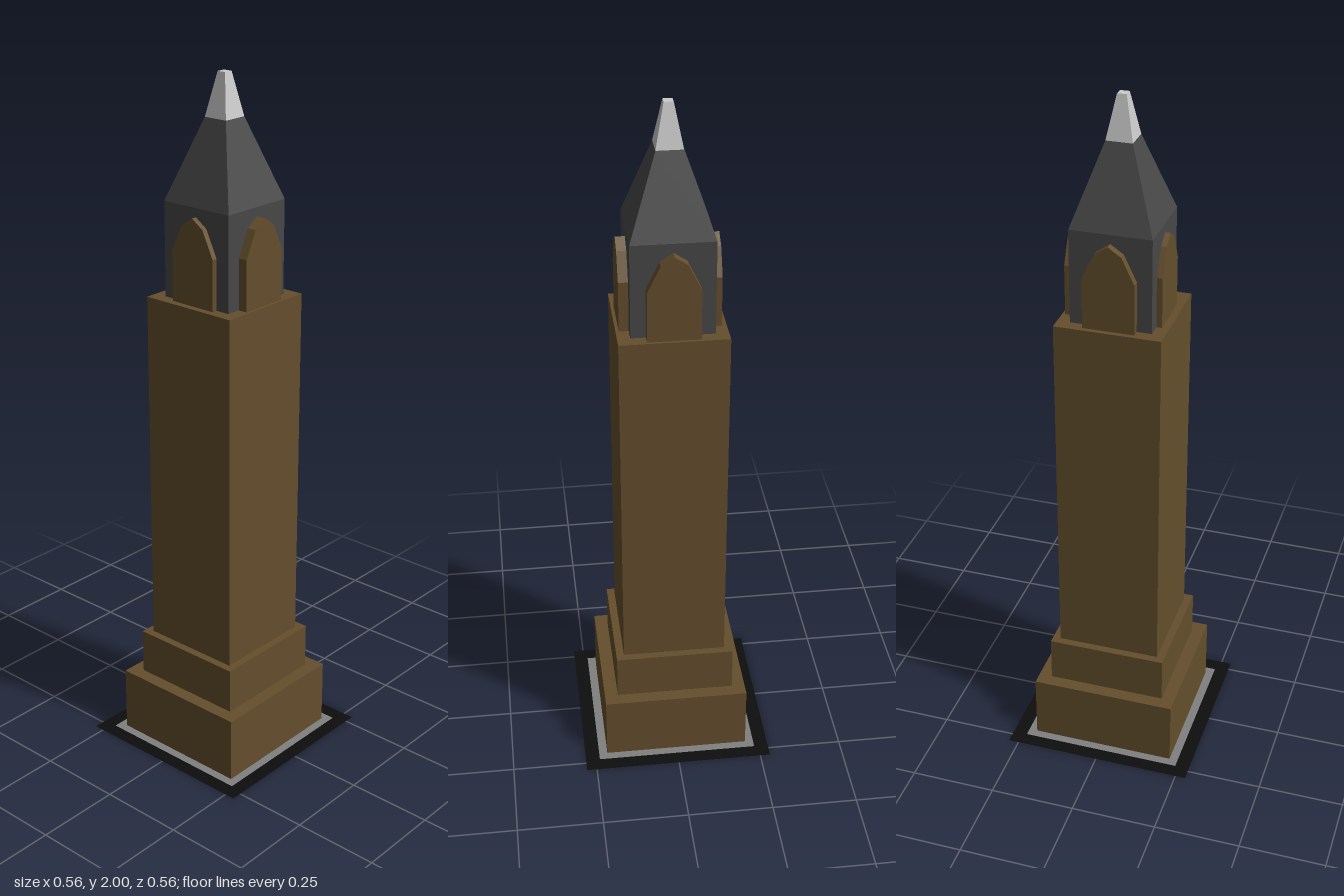
import * as THREE from 'three';

const material = (color) =>
  new THREE.MeshStandardMaterial({ color, flatShading: true, side: THREE.DoubleSide });

// Square shell swept from a profile of [half width, height] pairs
function squareShell(name, profile, mat) {
  const points = profile.map(([half, y]) => new THREE.Vector2(half * Math.SQRT2, y));
  const geometry = new THREE.LatheGeometry(points, 4, Math.PI / 4).toNonIndexed();
  geometry.computeVertexNormals();
  const mesh = new THREE.Mesh(geometry, mat);
  mesh.name = name;
  return mesh;
}

export function createModel() {
  const tower = new THREE.Group();
  tower.name = 'tower';
  const stone = material(0x654f2d);
  const slate = material(0x484848);
  const paving = material(0x808080);
  const asphalt = material(0x0d0d0d);
  const metal = material(0xcccccc);

  // Flat frames on the ground around the base
  tower.add(squareShell('outerGroundFrame', [[0.28, 0], [0.238, 0]], asphalt));
  tower.add(squareShell('innerGroundFrame', [[0.238, 0], [0.213, 0]], paving));

  // Hollow stepped base and shaft
  tower.add(squareShell('base', [[0.213, 0], [0.213, 0.195], [0.174, 0.195]], stone));
  tower.add(squareShell('plinth', [[0.174, 0.195], [0.174, 0.33], [0.151, 0.33]], stone));
  tower.add(squareShell('shaft', [[0.151, 0.33], [0.151, 1.385], [0.115, 1.385]], stone));

  // Belfry with tapering roof, and the pale tip
  tower.add(squareShell('roof', [[0.115, 1.385], [0.115, 1.655], [0.037, 1.88]], slate));
  tower.add(squareShell('tip', [[0.037, 1.88], [0.013, 2], [0, 2]], metal));

  // Pointed arch panel on each face of the belfry
  const arch = new THREE.Shape([
    [-0.073, 1.385], [0.073, 1.385], [0.073, 1.53], [0.037, 1.605],
    [0, 1.63], [-0.037, 1.605], [-0.073, 1.53],
  ].map(([x, y]) => new THREE.Vector2(x, y)));
  const faces = [
    ['frontArch', 0, 0.131], ['leftArch', 1, 0.142],
    ['backArch', 2, 0.143], ['rightArch', 3, 0.137],
  ];
  for (const [name, turn, reach] of faces) {
    const geometry = new THREE.ExtrudeGeometry(arch, { depth: reach - 0.113, bevelEnabled: false });
    geometry.translate(0, 0, 0.113);
    const mesh = new THREE.Mesh(geometry, stone);
    mesh.name = name;
    mesh.rotation.y = turn * Math.PI / 2;
    tower.add(mesh);
  }
  return tower;
}
